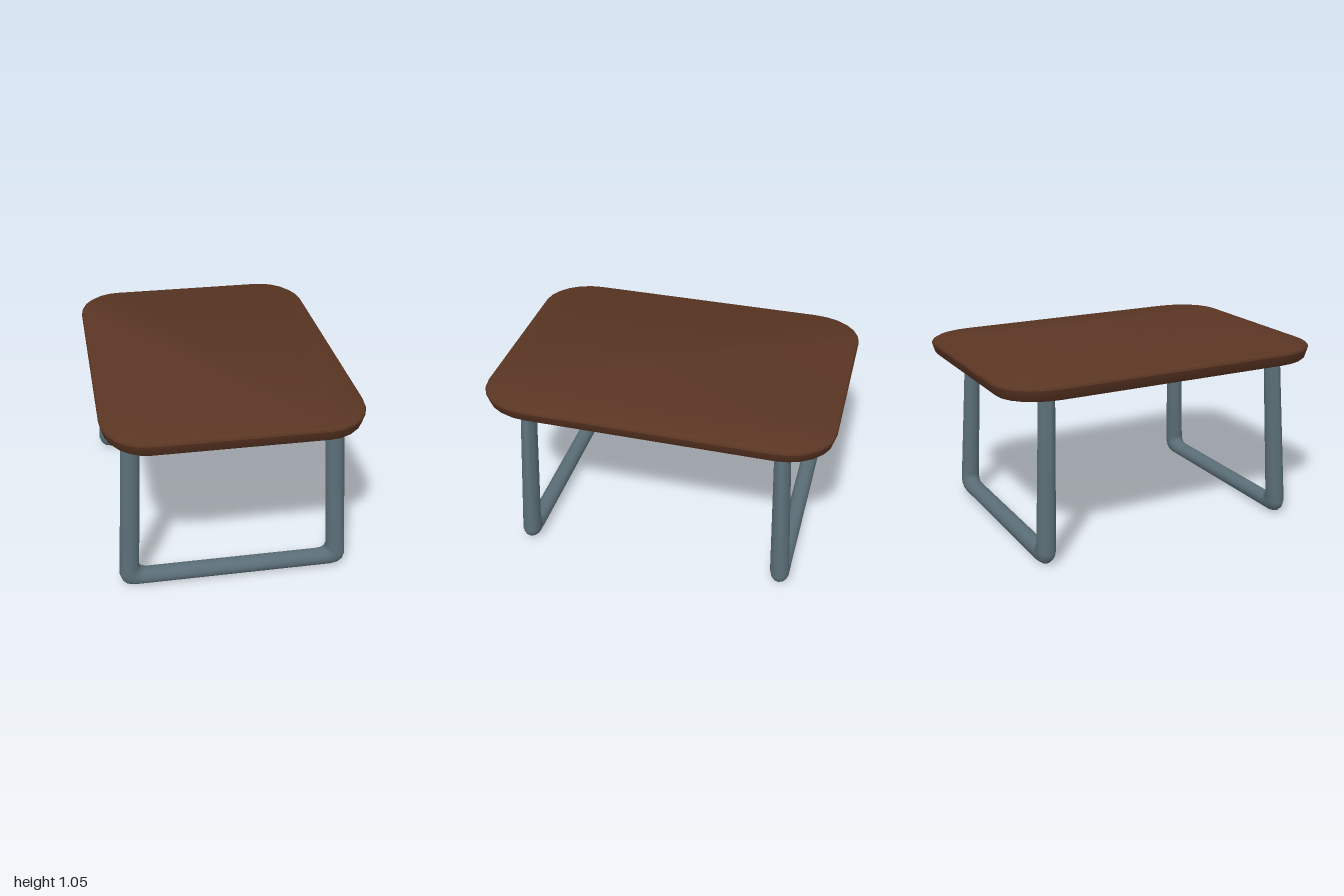
import * as THREE from 'three';
import { toCreasedNormals } from 'three/addons/utils/BufferGeometryUtils.js';

// Skin a list of closed cross-sections, running counterclockwise about the sweep direction
function loft(rings, capped) {
  const n = rings[0].length, pos = rings.flat(2), index = [];
  for (let i = 0; i < rings.length - 1; i++) {
    for (let j = 0; j < n; j++) {
      const a = i * n + j, b = i * n + (j + 1) % n;
      index.push(a, b, a + n, b, b + n, a + n);
    }
  }
  if (capped) {
    const last = (rings.length - 1) * n;
    for (let j = 1; j < n - 1; j++) {
      index.push(0, j + 1, j, last, last + j, last + j + 1);
    }
  }
  const geo = new THREE.BufferGeometry();
  geo.setAttribute('position', new THREE.Float32BufferAttribute(pos, 3));
  geo.setIndex(index);
  geo.computeVertexNormals();
  return geo;
}

// Rounded rectangle outline at height y, pulled in by inset
function outline(y, inset) {
  const points = [], steps = 6;
  for (let q = 0; q < 4; q++) {
    const sx = q < 2 ? 1 : -1, sz = q === 0 || q === 3 ? 1 : -1;
    for (let k = 0; k <= steps; k++) {
      const a = (q + k / steps) * Math.PI / 2;
      points.push([
        sx * 0.47 + Math.sin(a) * (0.25 - inset), y,
        sz * 0.70 + Math.cos(a) * (0.30 - inset),
      ]);
    }
  }
  return points;
}

// U-shaped leg frame, leaning outward towards the floor
function frameGeometry() {
  // outer x, outer y, inner x, inner y, half depth
  const half = [
    [0.610, 0.975, 0.505, 0.975, 0.045],
    [0.656, 0.070, 0.543, 0.130, 0.055],
    [0.643, 0.032, 0.535, 0.110, 0.055],
    [0.620, 0.010, 0.520, 0.100, 0.053],
    [0.580, 0.000, 0.490, 0.095, 0.051],
  ];
  const mirrored = half.map(([ox, oy, ix, iy, d]) => [-ox, oy, -ix, iy, d]).reverse();
  const sides = 14;
  const rings = [...half, ...mirrored].map(([ox, oy, ix, iy, d]) =>
    Array.from({ length: sides }, (_, j) => {
      const a = j / sides * Math.PI * 2, c = Math.cos(a);
      const x = (ox + ix) / 2 + c * (ox - ix) / 2;
      const y = (oy + iy) / 2 + c * (oy - iy) / 2;
      return [x, y, 0.772 - 0.048 * y + Math.sin(a) * d];
    }));
  return loft(rings, true);
}

export function createModel() {
  const wood = new THREE.MeshStandardMaterial({ name: 'dark brown wood', color: 0x5a3523 });
  const metal = new THREE.MeshStandardMaterial({ name: 'blue grey metal', color: 0x5a6d76 });
  const model = new THREE.Group();
  model.name = 'table';

  // Table top with bevelled rim that narrows downward
  const rim = [[0.96, 0.028], [0.972, 0.016], [1.025, 0], [1.037, 0.005], [1.047, 0.022]];
  const top = new THREE.Mesh(
    toCreasedNormals(loft(rim.map(([y, inset]) => outline(y, inset)), true), 0.6), wood);
  top.name = 'tableTop';
  model.add(top);

  // Front and back leg frames
  const geo = frameGeometry();
  ['frontLegFrame', 'backLegFrame'].forEach((name, i) => {
    const frame = new THREE.Mesh(geo, metal);
    frame.name = name;
    frame.rotation.y = i * Math.PI;
    model.add(frame);
  });
  return model;
}
